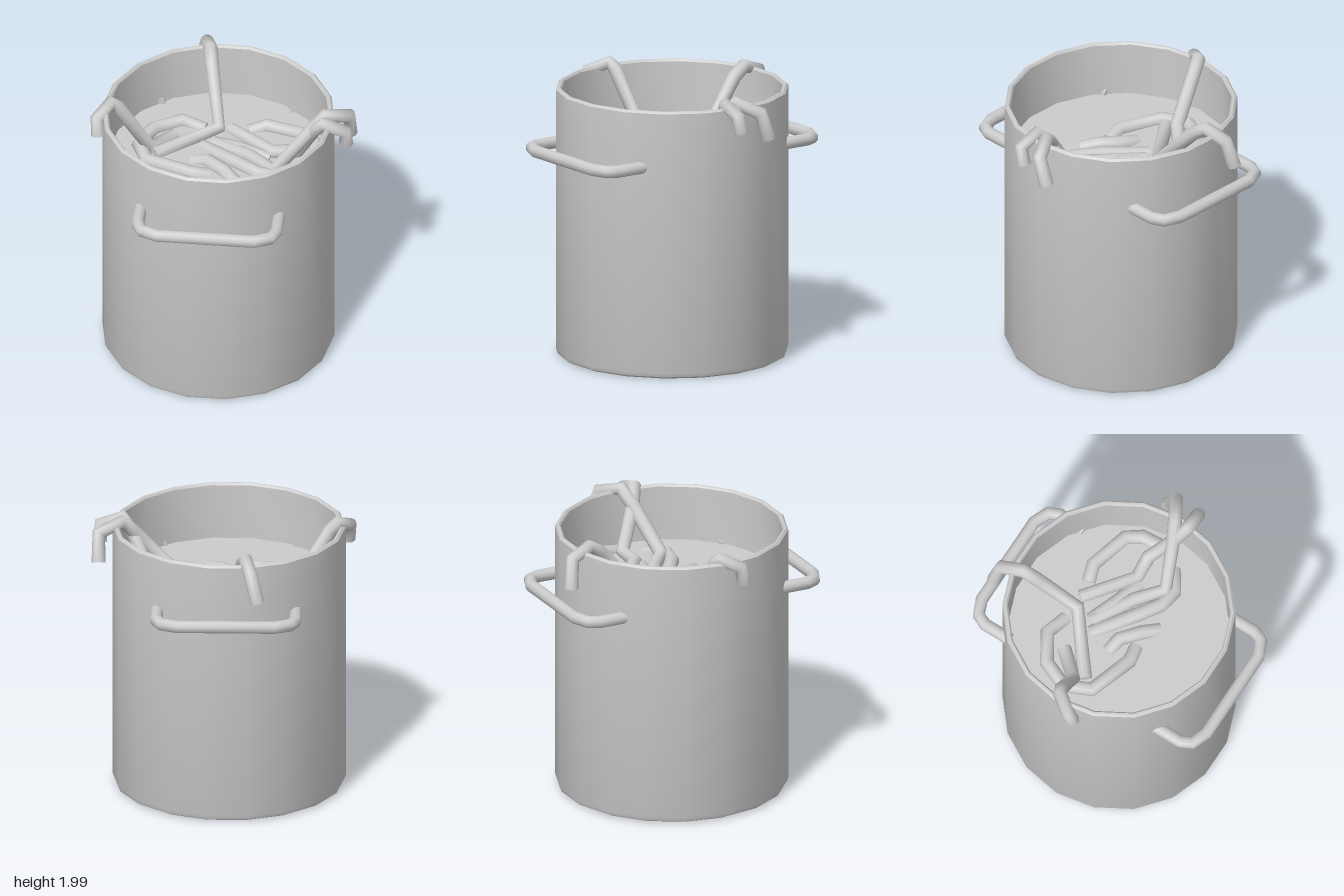
import * as THREE from 'three';
import { mergeGeometries, toCreasedNormals } from 'three/addons/utils/BufferGeometryUtils.js';

const material = new THREE.MeshStandardMaterial({ color: 0xcccccc });
const CX = -0.03, CZ = -0.005, SIDES = 18, LIQUID = 1.52;

// Straight runs between points, with one tube ring on every point
class BentPath extends THREE.Curve {
  constructor(points) {
    super();
    this.points = points.map((p) => new THREE.Vector3(...p));
  }
  getPointAt(u) {
    return this.points[Math.round(u * (this.points.length - 1))].clone();
  }
  getTangentAt(u) {
    const p = this.points, i = Math.round(u * (p.length - 1));
    const before = p[i].clone().sub(p[Math.max(i - 1, 0)]).normalize();
    const after = p[Math.min(i + 1, p.length - 1)].clone().sub(p[i]).normalize();
    return before.add(after).normalize();
  }
}

// Tube along a bent path, closed by flat caps
function bentTube(name, points, radius, sides = 10) {
  const path = new BentPath(points);
  const parts = [new THREE.TubeGeometry(path, points.length - 1, radius, sides)];
  for (const end of [0, 1]) {
    const out = path.getTangentAt(end).multiplyScalar(end ? 1 : -1);
    const turn = new THREE.Quaternion().setFromUnitVectors(new THREE.Vector3(0, 0, 1), out);
    const at = path.getPointAt(end);
    parts.push(new THREE.CircleGeometry(radius, sides).applyQuaternion(turn).translate(at.x, at.y, at.z));
  }
  const mesh = new THREE.Mesh(mergeGeometries(parts), material);
  mesh.name = name;
  return mesh;
}

export function createModel() {
  const model = new THREE.Group();
  model.name = 'stockPot';

  // Pot shell: base, bevelled foot, wall, rim and inner wall
  const profile = [
    [0, 0.005], [0.775, 0.005], [0.805, 0.02], [0.817, 0.05], [0.817, 1.915],
    [0.802, 1.93], [0.79, 1.93], [0.778, 1.915], [0.778, LIQUID - 0.05],
  ].map(([r, y]) => new THREE.Vector2(r, y));
  const shell = new THREE.LatheGeometry(profile, SIDES, Math.PI / SIDES);
  const pot = new THREE.Mesh(toCreasedNormals(shell, 0.65), material);
  pot.name = 'pot';
  pot.position.set(CX, 0, CZ);
  model.add(pot);

  // Liquid surface
  const liquid = new THREE.Mesh(new THREE.CircleGeometry(0.785, SIDES).rotateX(-Math.PI / 2), material);
  liquid.name = 'liquid';
  liquid.position.set(CX, LIQUID, CZ);
  model.add(liquid);

  // Front and back handles
  const halfHandle = [[0.485, 0.6], [0.485, 0.81], [0.45, 0.885], [0.34, 0.93]];
  const handleLine = [...halfHandle, ...halfHandle.map(([x, z]) => [-x, z]).reverse()];
  for (const [name, s] of [['frontHandle', 1], ['backHandle', -1]]) {
    model.add(bentTube(name, handleLine.map(([x, z]) => [x - 0.025, LIQUID, s * z]), 0.045));
  }

  // Tentacles hooked over the rim
  const hooked = {
    rightTentacle: [
      [-0.86, 1.77, 0.14], [-0.87, 1.89, 0.11], [-0.79, 1.945, -0.01],
      [-0.74, 1.9, -0.03], [-0.52, 1.54, -0.07], [-0.36, 1.52, -0.25]],
    backTentacle: [
      [-0.25, 1.69, -0.905], [-0.2, 1.89, -0.87], [-0.16, 1.945, -0.72],
      [-0.14, 1.88, -0.62], [-0.06, 1.55, -0.33], [-0.48, 1.53, 0]],
    leftTentacle: [
      [0.88, 1.7, -0.18], [0.88, 1.89, -0.11], [0.72, 1.945, -0.02],
      [0.64, 1.86, 0.02], [0.38, 1.55, 0.12], [0.2, 1.54, -0.03], [-0.08, 1.51, -0.2]],
    leftFrontTentacle: [
      [0.875, 1.77, 0.05], [0.87, 1.89, 0.08], [0.72, 1.945, 0.08],
      [0.64, 1.84, 0.03], [0.52, 1.56, -0.11], [0.35, 1.54, -0.1], [0.02, 1.52, -0.36]],
  };
  for (const [name, points] of Object.entries(hooked)) model.add(bentTube(name, points, 0.05));

  // Tentacles floating at the surface, given as [x, z] with sunken ends
  const floating = [
    [[0.15, -0.37], [0.27, -0.41], [0.56, -0.33], [0.63, -0.23], [0.65, -0.06]],
    [[-0.16, -0.36], [-0.33, -0.41], [-0.52, -0.29], [-0.6, -0.1], [-0.52, 0.08], [-0.2, 0.19], [-0.08, 0.17]],
    [[-0.21, 0.02], [-0.1, 0.04], [0.03, 0.15], [0.12, 0.24]],
    [[-0.08, -0.21], [0.1, -0.13], [0.33, -0.06]],
    [[-0.16, -0.16], [0.12, 0.05], [0.27, 0.15], [0.4, 0.18], [0.55, 0.08]],
  ];
  floating.forEach((line, i) => {
    const points = line.map(([x, z], k) => [x, k % (line.length - 1) ? 1.53 : 1.5, z]);
    model.add(bentTube('floatingTentacle' + (i + 1), points, 0.052));
  });

  return model;
}
